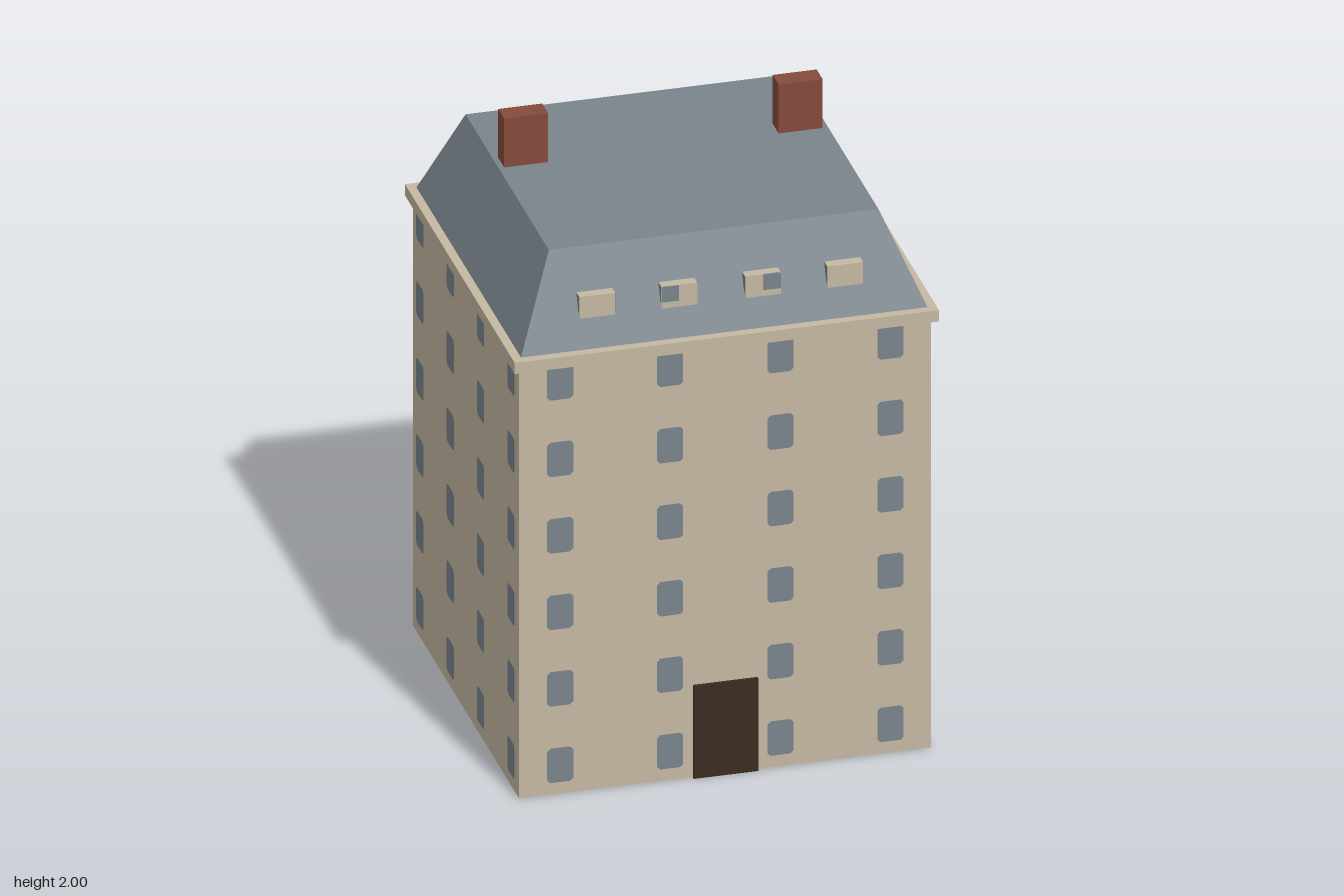
import * as THREE from 'three';

const mat = (name, color) => {
  const m = new THREE.MeshStandardMaterial({ color });
  m.name = name;
  return m;
};

export function createModel() {
  const stone = mat('stone', 0xc4b8a1);
  const slate = mat('slate', 0x7a848c);
  const brick = mat('brick', 0x844a3b);
  const wood = mat('darkWood', 0x3b2b21);
  const model = new THREE.Group();
  model.name = 'townHouse';

  const add = (name, geometry, material, x = 0, y = 0, z = 0, parent = model) => {
    const mesh = new THREE.Mesh(geometry, material);
    mesh.name = name;
    mesh.position.set(x, y, z);
    parent.add(mesh);
    return mesh;
  };
  const box = (name, material, w, d, y0, y1, x = 0, z = 0) =>
    add(name, new THREE.BoxGeometry(w, y1 - y0, d), material, x, (y0 + y1) / 2, z);

  // Walls, cornice and door
  const halfW = 0.665, halfD = 0.622;
  box('walls', stone, halfW * 2, halfD * 2, 0.002, 1.5);
  box('cornice', stone, 1.37, 1.284, 1.493, 1.532);
  box('door', wood, 0.208, 0.02, 0, 0.323, 0, 0.622);

  // Mansard roof: a box whose top is drawn in evenly on all sides
  const roof = new THREE.BoxGeometry(1.314, 0.3, 1.224);
  const p = roof.attributes.position;
  for (let i = 0; i < p.count; i++) {
    if (p.getY(i) > 0) {
      p.setX(i, Math.sign(p.getX(i)) * 0.532);
      p.setZ(i, Math.sign(p.getZ(i)) * 0.487);
    }
  }
  roof.computeVertexNormals();
  add('mansardRoof', roof, slate, 0, 1.68, 0);

  // Chimneys
  for (const s of [-1, 1]) box('chimney', brick, 0.142, 0.07, 1.8, 2, s * 0.443, -0.135);

  // Window pane with notched corners
  const w = 0.042, h = 0.06, n = 0.01;
  const pane = new THREE.ShapeGeometry(new THREE.Shape([
    [-w + n, -h], [w - n, -h], [w, -h + n], [w, h - n],
    [w - n, h], [-w + n, h], [-w, h - n], [-w, -h + n],
  ].map(([x, y]) => new THREE.Vector2(x, y))));

  // Window grid on all four walls
  const columns = [-0.533, -0.178, 0.178, 0.533];
  const sides = [['front', halfD], ['left', halfW], ['back', halfD], ['right', halfW]];
  sides.forEach(([side, distance], k) => {
    const wall = new THREE.Group();
    wall.name = side + 'Windows';
    wall.rotation.y = k * Math.PI / 2;
    for (const x of columns) {
      for (let row = 0; row < 6; row++) {
        add('window', pane, slate, x, 0.103 + row * 0.2665, distance + 0.002, wall);
      }
    }
    model.add(wall);
  });

  // Dark panels under the base
  for (const x of columns) {
    for (const z of columns) add('basePanel', pane, slate, x, 0, z).rotation.x = Math.PI / 2;
  }

  // Dormers; the inner two carry a pane on their outer half
  for (const s of [-1, 1]) {
    for (const x of [0.135, 0.4]) {
      box('dormer', stone, 0.115, 0.1, 1.624, 1.699, s * x, 0.527);
      box('dormerCheek', slate, 0.117, 0.08, 1.642, 1.698, s * x, 0.535);
    }
    box('dormerWindow', slate, 0.055, 0.006, 1.645, 1.699, s * 0.164, 0.576);
  }
  return model;
}
